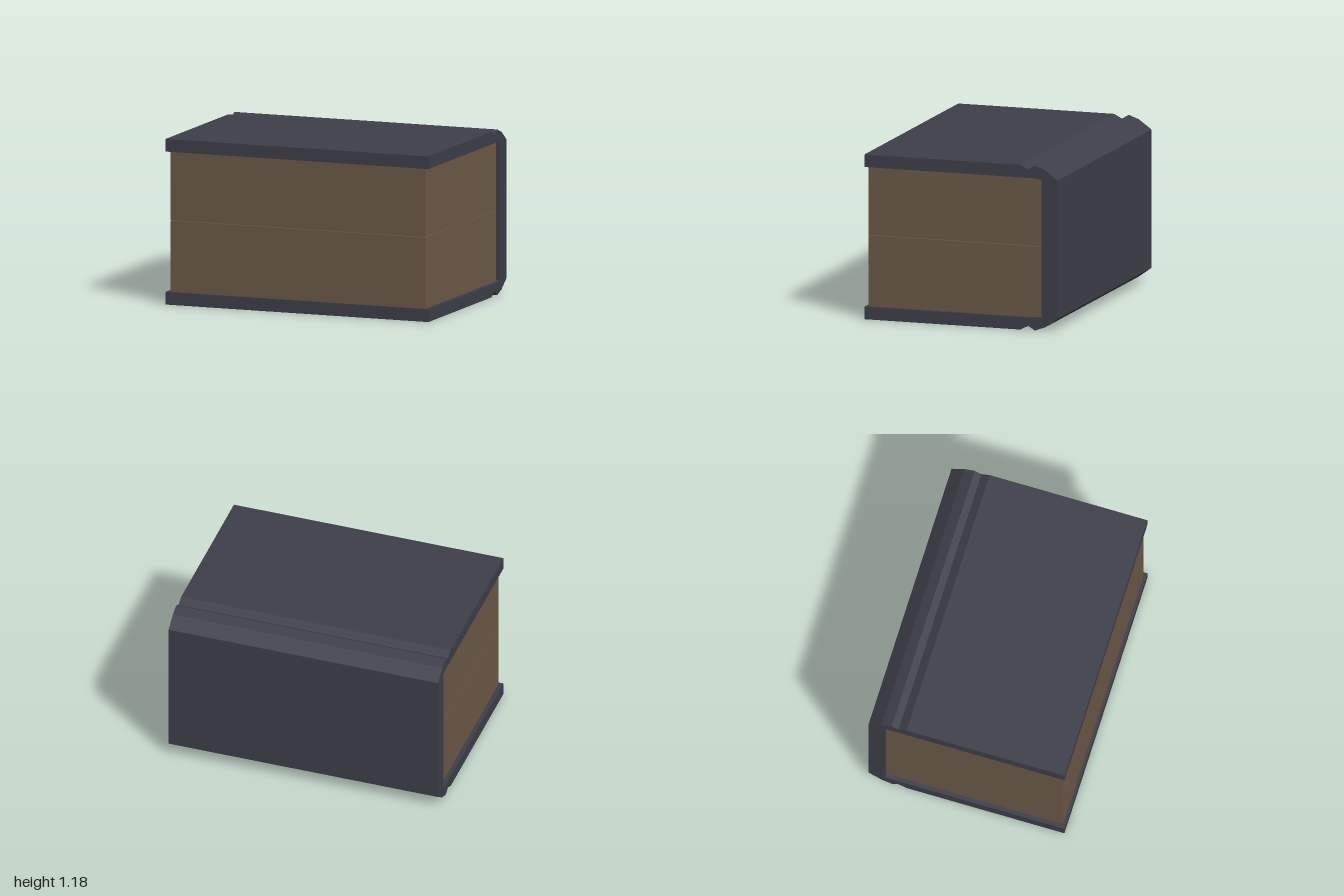
import * as THREE from 'three';

const HEIGHT = 1.18;

export function createModel() {
  const model = new THREE.Group();
  model.name = 'book';
  const leather = new THREE.MeshStandardMaterial({ color: 0x3e3e49 });
  leather.name = 'dark leather';
  const paper = new THREE.MeshStandardMaterial({ color: 0x6c5948 });
  paper.name = 'aged paper';

  // Half profile of the cover as [z, y]: outside with hinge groove, then inside
  const outer = [[0.72, 1.18], [-0.44, 1.18], [-0.5, 1.15], [-0.55, 1.18], [-0.625, 1.153], [-0.72, 1.085]];
  const inner = [[-0.6, 1.083], [-0.54, 1.09], [0.72, 1.09]];
  const mirror = (points) => points.map(([z, y]) => [z, HEIGHT - y]).reverse();
  const profile = [...outer, ...mirror(outer), ...mirror(inner), ...inner];

  // Boards and spine are one folded strip running along x
  const shape = new THREE.Shape(profile.map(([z, y]) => new THREE.Vector2(z, y)));
  const coverGeometry = new THREE.ExtrudeGeometry(shape, { depth: 2, bevelEnabled: false });
  coverGeometry.translate(0, 0, -1).rotateY(-Math.PI / 2);
  const cover = new THREE.Mesh(coverGeometry, leather);
  cover.name = 'cover';
  model.add(cover);

  // Page block in two halves with a hairline gap between them
  for (const [name, bottom, top] of [['lowerPages', 0.09, 0.597], ['upperPages', 0.6, 1.09]]) {
    const pages = new THREE.Mesh(new THREE.BoxGeometry(1.94, top - bottom, 1.3), paper);
    pages.name = name;
    pages.position.set(0, (top + bottom) / 2, 0.05);
    model.add(pages);
  }
  return model;
}
